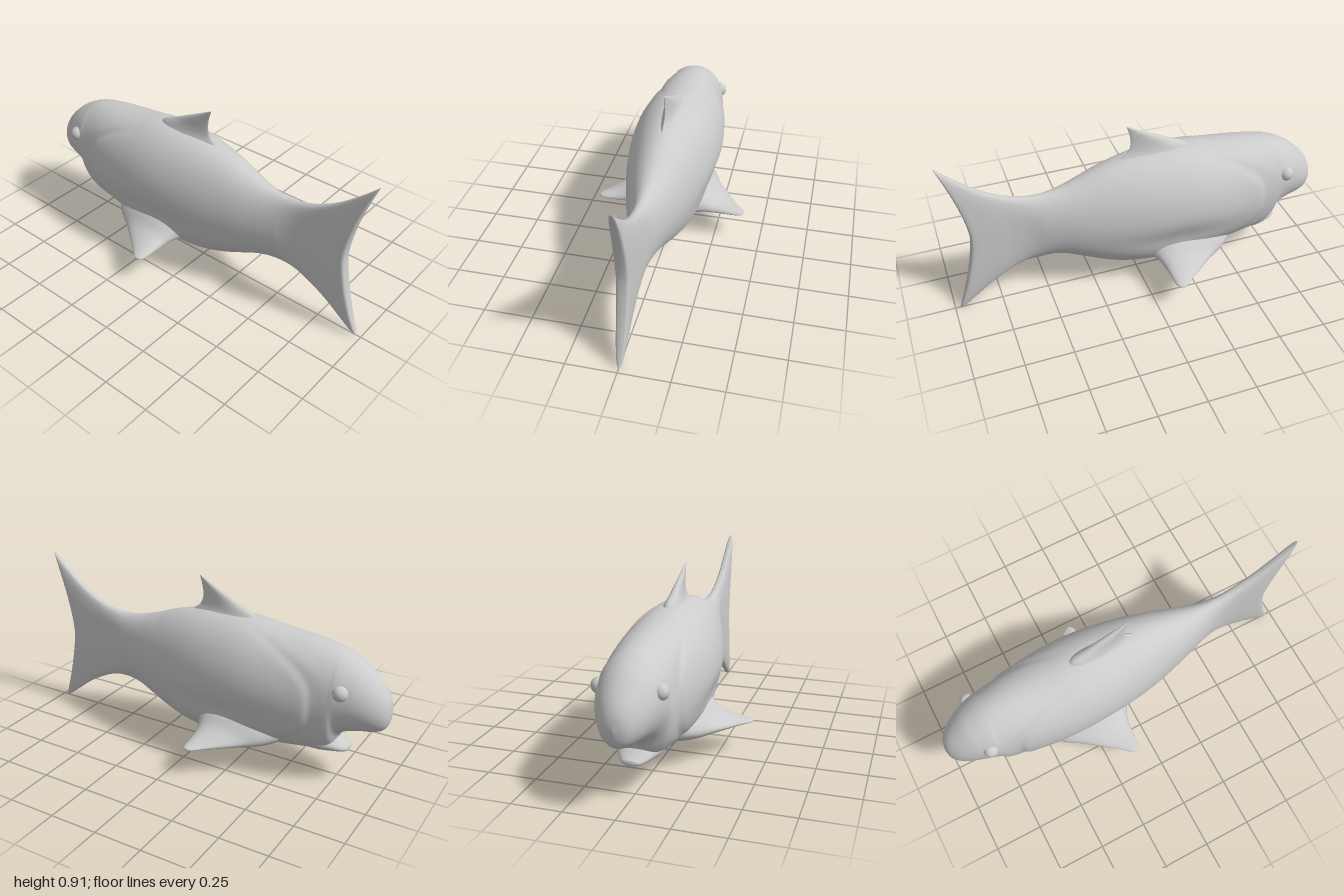
import * as THREE from 'three';

const material = new THREE.MeshStandardMaterial({ color: 0xcccccc, side: THREE.DoubleSide });

// Uniform Catmull-Rom through table rows, u in 0..1
function spline(rows, u) {
  const n = rows.length - 1;
  const i = Math.min(Math.floor(u * n), n - 1), t = u * n - i;
  const r = k => rows[Math.max(0, Math.min(n, k))];
  return rows[0].map((_, c) => {
    const [a, b, d, e] = [r(i - 1)[c], r(i)[c], r(i + 1)[c], r(i + 2)[c]];
    return b + 0.5 * t * (d - a + t * (2 * a - 5 * b + 4 * d - e + t * (3 * (b - d) + e - a)));
  });
}

// Closed rings of nv points swept over nu steps
function loft(name, nu, nv, point) {
  const pos = [], idx = [];
  for (let i = 0; i <= nu; i++) {
    for (let j = 0; j < nv; j++) pos.push(...point(i / nu, (j / nv) * Math.PI * 2));
  }
  for (let i = 0; i < nu; i++) {
    for (let j = 0; j < nv; j++) {
      const k = (j + 1) % nv;
      const a = i * nv + j, b = a + nv, c = (i + 1) * nv + k, d = i * nv + k;
      idx.push(a, b, c, a, c, d);
    }
  }
  const g = new THREE.BufferGeometry();
  g.setAttribute('position', new THREE.Float32BufferAttribute(pos, 3));
  g.setIndex(idx);
  g.computeVertexNormals();
  const mesh = new THREE.Mesh(g, material);
  mesh.name = name;
  return mesh;
}

const bell = (x, w) => Math.exp(-((x / w) ** 2));
const power = (v, p) => Math.sign(v) * Math.abs(v) ** p;

// Body and tail stations: x, bottom, top, half width
const BODY = [
  [-1, 0.41, 0.415, 0], [-0.99, 0.355, 0.475, 0.045], [-0.965, 0.322, 0.525, 0.078],
  [-0.92, 0.307, 0.577, 0.11], [-0.86, 0.298, 0.63, 0.137], [-0.8, 0.28, 0.665, 0.157],
  [-0.76, 0.25, 0.683, 0.169], [-0.735, 0.19, 0.692, 0.176], [-0.69, 0.153, 0.703, 0.187],
  [-0.6, 0.14, 0.717, 0.206], [-0.5, 0.127, 0.727, 0.222], [-0.4, 0.115, 0.738, 0.233],
  [-0.3, 0.103, 0.752, 0.238], [-0.2, 0.095, 0.758, 0.235], [-0.1, 0.088, 0.755, 0.226],
  [0, 0.089, 0.747, 0.211], [0.1, 0.104, 0.729, 0.19], [0.2, 0.136, 0.702, 0.164],
  [0.3, 0.18, 0.665, 0.136], [0.4, 0.222, 0.634, 0.104], [0.5, 0.24, 0.62, 0.073],
  [0.6, 0.232, 0.63, 0.05], [0.7, 0.193, 0.664, 0.039], [0.8, 0.135, 0.723, 0.036],
  [0.9, 0.06, 0.805, 0.034], [0.96, 0.015, 0.86, 0.032], [0.985, 0.002, 0.886, 0.024],
  [0.99, 0.002, 0.889, 0],
];

function bodyPoint(u, a) {
  let [x, bottom, top, w] = spline(BODY, u);
  const s = Math.sin(a), y = (bottom + top) / 2 + ((top - bottom) / 2) * s;
  const tail = THREE.MathUtils.smoothstep(x, 0.45, 0.75);
  let z = w * power(Math.cos(a), 1 - 0.4 * tail);
  // Hollow above the side fins
  z *= 1 - 0.09 * bell(s + 0.35, 0.22) * bell(x + 0.15, 0.25);
  // Gill edge: sharp step behind, soft fade ahead
  const d = x - (-0.655 + 0.45 * Math.abs(s) ** 3.2);
  z *= 1 - 0.05 * (d < 0 ? bell(d, 0.07) : bell(d, 0.015));
  // Forked trailing edge
  if (x > 0.5) x = 0.5 + ((x - 0.5) / 0.49) * (0.37 + (s > 0 ? 0.12 : 0.105) * Math.abs(s) ** 1.5);
  return [x, y, z];
}

// Lower jaw: x, bottom, top, half width
const JAW = [
  [-0.81, 0.175, 0.18, 0], [-0.805, 0.165, 0.193, 0.032], [-0.785, 0.16, 0.203, 0.055],
  [-0.74, 0.155, 0.235, 0.085], [-0.66, 0.148, 0.29, 0.12], [-0.56, 0.15, 0.3, 0.1], [-0.5, 0.2, 0.21, 0],
];

// Dorsal fin: y, front x, back x, half thickness
const DORSAL = [
  [0.69, -0.27, 0.1, 0.07], [0.73, -0.28, 0.085, 0.055], [0.765, -0.26, 0.045, 0.038],
  [0.8, -0.185, 0.03, 0.026], [0.84, -0.105, 0.029, 0.018], [0.88, -0.025, 0.037, 0.01],
  [0.908, 0.03, 0.046, 0.004], [0.916, 0.046, 0.047, 0],
];

// Side fin: z, front x, back x, bottom, top
const FIN = [
  [0.06, -0.52, 0.02, 0.105, 0.36], [0.13, -0.49, -0.02, 0.115, 0.34], [0.19, -0.43, -0.055, 0.125, 0.285],
  [0.24, -0.345, -0.073, 0.132, 0.232], [0.3, -0.262, -0.08, 0.14, 0.2], [0.35, -0.195, -0.083, 0.146, 0.182],
  [0.385, -0.155, -0.088, 0.15, 0.172], [0.402, -0.135, -0.1, 0.153, 0.166], [0.406, -0.118, -0.116, 0.158, 0.16],
];

export function createModel() {
  const fish = new THREE.Group();
  fish.name = 'fish';

  fish.add(loft('bodyAndTail', 220, 96, bodyPoint));

  fish.add(loft('lowerJaw', 36, 32, (u, a) => {
    const [x, b, t, w] = spline(JAW, u);
    return [x, (b + t) / 2 + ((t - b) / 2) * Math.sin(a), w * Math.cos(a)];
  }));

  // Thicker toward the front, thin at the trailing edge
  fish.add(loft('dorsalFin', 40, 40, (u, a) => {
    const [y, f, b, w] = spline(DORSAL, u), c = Math.cos(a);
    return [(f + b) / 2 + ((b - f) / 2) * c, y, w * Math.sin(a) * (0.85 - 0.35 * c)];
  }));

  for (const side of [1, -1]) {
    const label = side > 0 ? 'front' : 'back';
    // Side fin, its upper surface rising toward the trailing edge
    fish.add(loft(label + 'SideFin', 40, 40, (u, a) => {
      const [z, f, b, lo, hi] = spline(FIN, u), c = Math.cos(a), s = -side * Math.sin(a);
      const lift = s > 0 ? s * (0.85 + 0.15 * c) : s;
      return [(f + b) / 2 + ((b - f) / 2) * c, lo + (hi - lo) * (0.4 + (s > 0 ? 0.6 : 0.4) * lift), side * z];
    }));

    const eye = new THREE.Mesh(new THREE.SphereGeometry(0.039, 24, 16), material);
    eye.name = label + 'Eye';
    eye.position.set(-0.79, 0.53, side * 0.142);
    fish.add(eye);
  }
  return fish;
}
